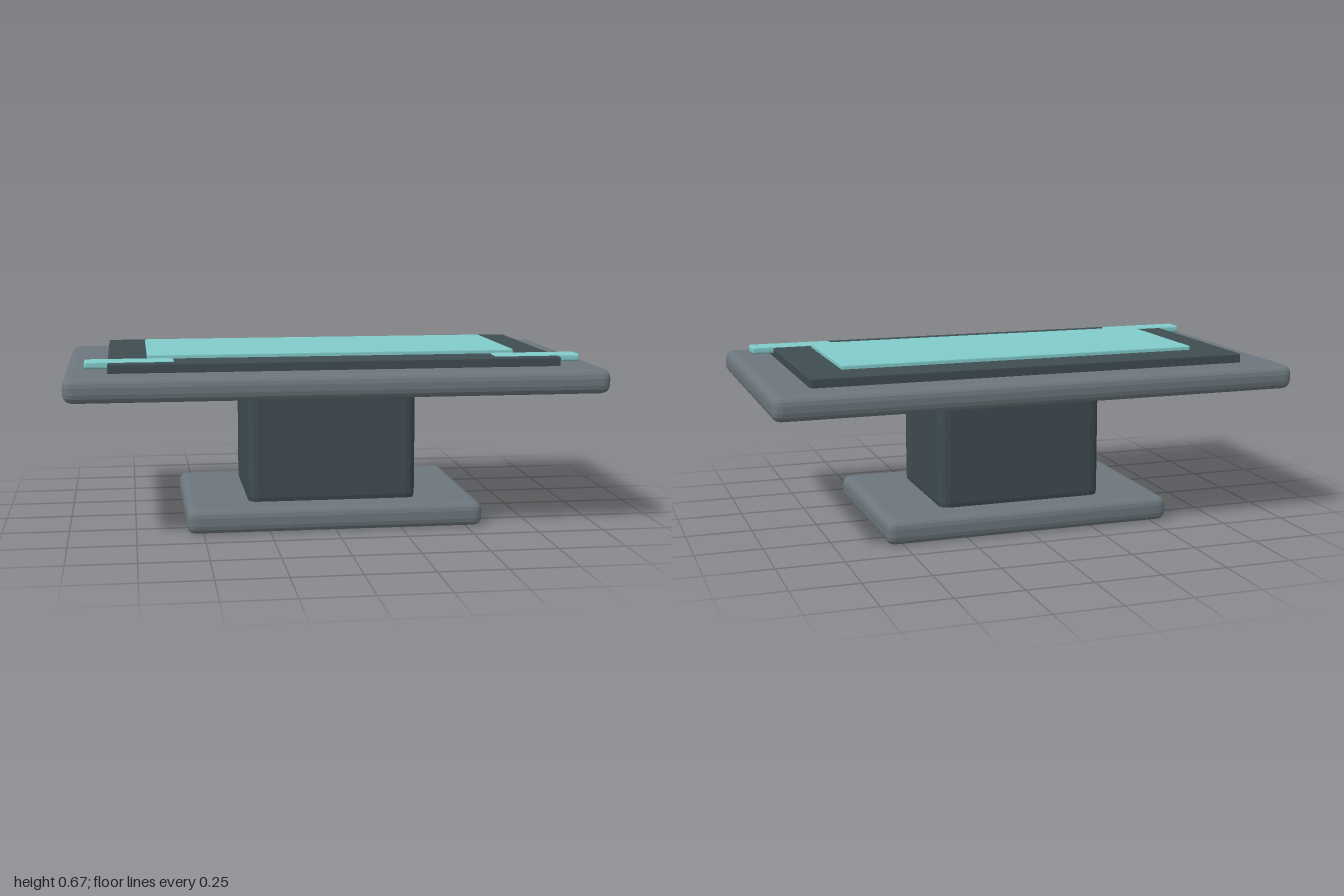
import * as THREE from 'three';
import { RoundedBoxGeometry } from 'three/addons/geometries/RoundedBoxGeometry.js';

export function createModel() {
  const group = new THREE.Group();
  const make = (name, color) => {
    const m = new THREE.MeshStandardMaterial({ color, flatShading: true });
    m.name = name;
    return m;
  };
  const grey = make('slate grey', 0x6c767c);
  const dark = make('dark slate', 0x3f4c51);
  const teal = make('pale teal', 0x80cbca);

  // Bevelled block given by half width, bottom, top and half depth
  const block = (name, mat, hw, y0, y1, hd, radius, x = 0, z = 0) => {
    const mesh = new THREE.Mesh(new RoundedBoxGeometry(hw * 2, y1 - y0, hd * 2, 2, radius), mat);
    mesh.name = name;
    mesh.position.set(x, (y0 + y1) / 2, z);
    group.add(mesh);
  };

  // Foot, pedestal and table top
  block('base', grey, 0.563, 0, 0.094, 0.382, 0.032);
  block('pedestal', dark, 0.325, 0.07, 0.535, 0.262, 0.04);
  block('tableTop', grey, 1, 0.525, 0.617, 0.552, 0.034);

  // Raised panel with its glowing screen
  block('panel', dark, 0.842, 0.605, 0.652, 0.421, 0.006);
  block('screen', teal, 0.697, 0.645, 0.668, 0.276, 0.006);

  // Control strips at the front corners
  for (const side of [-1, 1]) {
    block(side > 0 ? 'leftStrip' : 'rightStrip', teal, 0.163, 0.63, 0.658, 0.041, 0.008, side * 0.763, 0.343);
  }
  return group;
}
